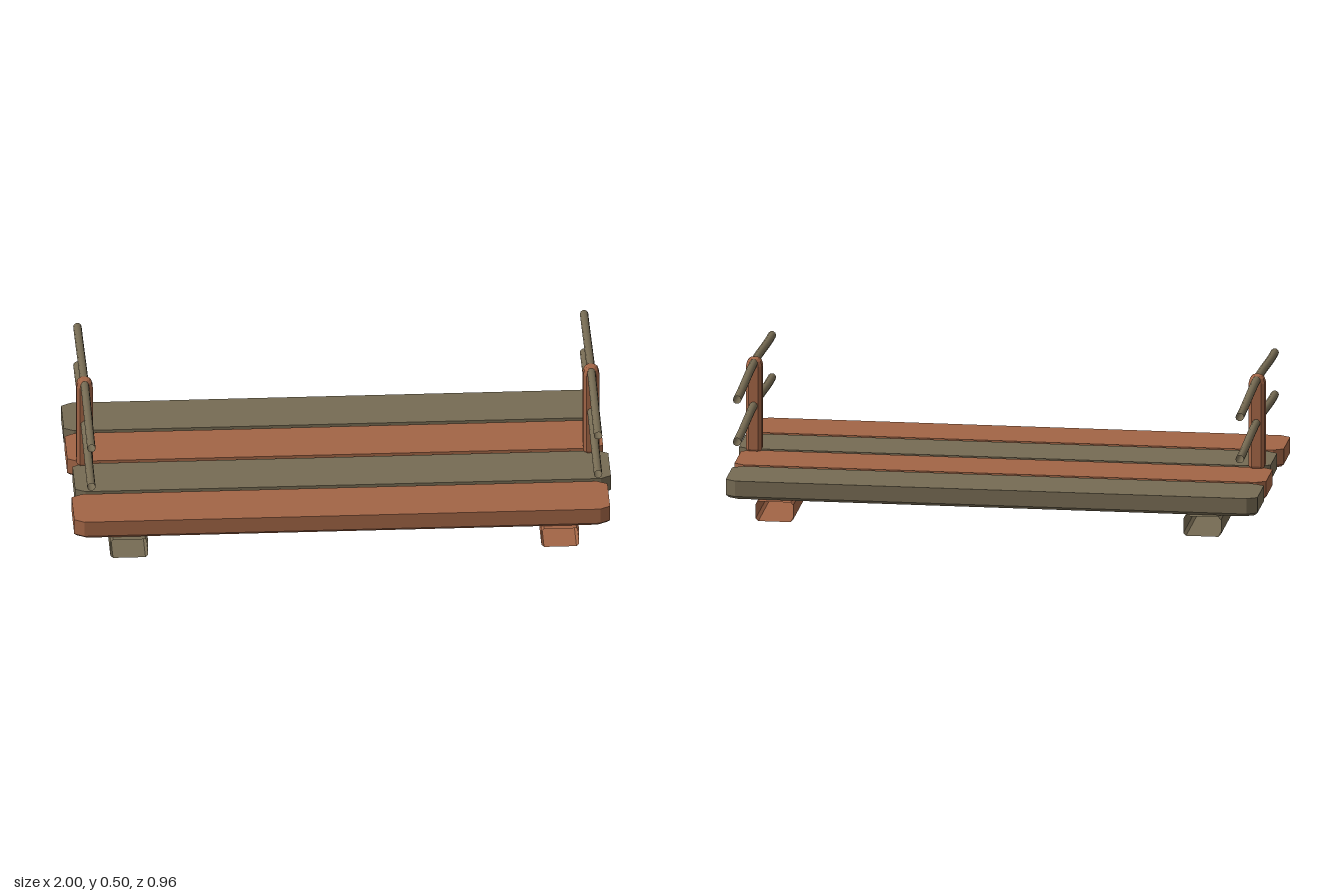
import * as THREE from 'three';

// Eight-sided outline: a rectangle with cut corners, counterclockwise from above
function outline(hx, hz, cx, cz) {
  const x = hx - cx, z = hz - cz;
  return [[hx, z], [hx, -z], [x, -hz], [-x, -hz], [-hx, -z], [-hx, z], [-x, hz], [x, hz]];
}

// Joins outlines stacked along y into a faceted solid, or an open tube
function loft(levels, capped = true) {
  const rings = levels.map(([y, ...o]) => outline(...o).map(([x, z]) => [x, y, z]));
  const pos = [];
  const tri = (a, b, c) => pos.push(...a, ...b, ...c);
  for (let k = 0; k < rings.length - 1; k++) {
    const lo = rings[k], hi = rings[k + 1];
    for (let i = 0; i < 8; i++) {
      const j = (i + 1) % 8;
      tri(lo[i], lo[j], hi[j]);
      tri(lo[i], hi[j], hi[i]);
    }
  }
  if (capped) {
    const lo = rings[0], hi = rings[rings.length - 1];
    for (let i = 1; i < 7; i++) {
      tri(lo[0], lo[i + 1], lo[i]);
      tri(hi[0], hi[i], hi[i + 1]);
    }
  }
  const geo = new THREE.BufferGeometry();
  geo.setAttribute('position', new THREE.Float32BufferAttribute(pos, 3));
  geo.computeVertexNormals();
  return geo;
}

export function createModel() {
  const redWood = new THREE.MeshStandardMaterial({ color: 0xa26546, side: THREE.DoubleSide });
  redWood.name = 'reddish wood';
  const greyWood = new THREE.MeshStandardMaterial({ color: 0x766b53, side: THREE.DoubleSide });
  greyWood.name = 'weathered wood';

  const model = new THREE.Group();
  model.name = 'footbridge';
  const add = (name, geo, mat, x, y, z) => {
    const mesh = new THREE.Mesh(geo, mat);
    mesh.name = name;
    mesh.position.set(x, y, z);
    model.add(mesh);
    return mesh;
  };

  // Deck planks, alternating in colour and slightly staggered
  const plank = loft([
    [0.077, 0.98, 0.1, 0.035, 0.02],
    [0.088, 0.992, 0.11, 0.037, 0.022],
    [0.147, 0.992, 0.11, 0.037, 0.022],
  ]);
  for (let i = 0; i < 4; i++) {
    const odd = i % 2 === 1;
    add('plank' + (i + 1), plank, odd ? redWood : greyWood, odd ? -0.008 : 0.008 * (i - 1), 0, -0.36 + 0.24 * i);
  }

  // Hollow cross beams beneath the deck
  const beam = loft([[-0.48, 0.07, 0.0375, 0.01, 0.01], [0.48, 0.07, 0.0375, 0.01, 0.01]], false);
  beam.rotateX(Math.PI / 2);

  // Railing post with cut corners and a rounded top
  const post = loft([
    [0.147, 0.026, 0.026, 0.01, 0.01],
    [0.155, 0.03, 0.03, 0.012, 0.012],
    [0.47, 0.03, 0.03, 0.012, 0.012],
    [0.488, 0.025, 0.025, 0.011, 0.011],
    [0.497, 0.018, 0.018, 0.008, 0.008],
    [0.5, 0.01, 0.01, 0.004, 0.004],
  ]);

  // Handrail, gently rising to the post
  const points = [];
  for (let i = 0; i <= 12; i++) {
    const z = -0.48 + 0.08 * i;
    points.push(new THREE.Vector3(0, 0.011 * (1 + Math.cos(Math.PI * z / 0.48)), z));
  }
  const rail = new THREE.TubeGeometry(new THREE.CatmullRomCurve3(points), 24, 0.0155, 10, false);

  for (const [side, s] of [['left', 1], ['right', -1]]) {
    add(side + 'Beam', beam, s > 0 ? redWood : greyWood, 0.798 * s, 0.0375, 0);
    add(side + 'Post', post, redWood, 0.938 * s, 0, 0);
    add(side + 'UpperRail', rail, greyWood, 0.938 * s, 0.46, 0);
    add(side + 'LowerRail', rail, greyWood, 0.938 * s, 0.299, 0);
  }
  return model;
}
